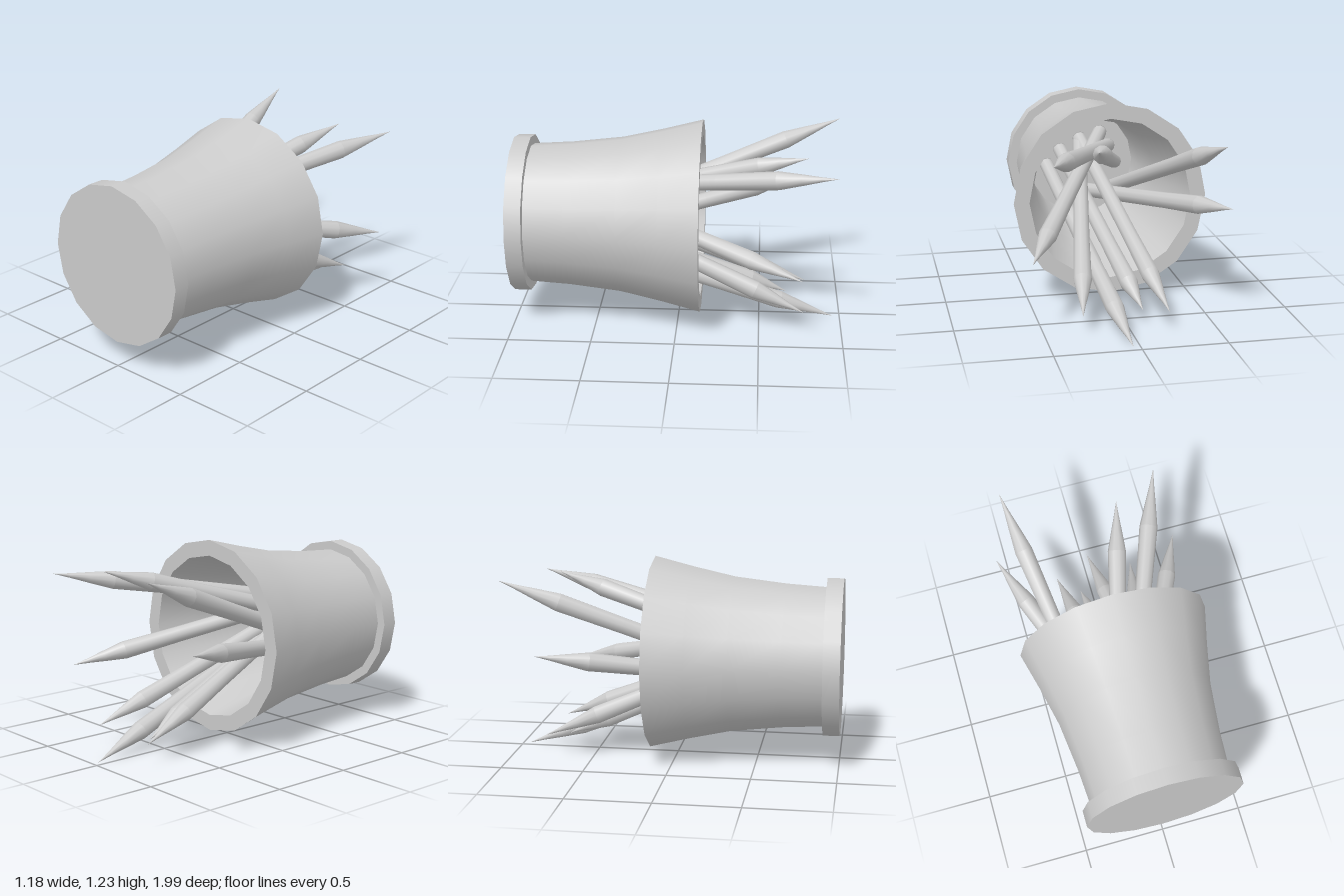
import * as THREE from 'three';

const material = new THREE.MeshStandardMaterial({ color: 0xcccccc });
const AXIS_Y = 0.645; // height of the cup's axis, which lies along z

function lathe(name, points, sides) {
  const profile = points.map(([r, h]) => new THREE.Vector2(r, h));
  const mesh = new THREE.Mesh(new THREE.LatheGeometry(profile, sides), material);
  mesh.name = name;
  return mesh;
}

// Pencil: shaft flaring a little to the shoulder, then a slender hollowed point
function createPencil(tip, foot, pointLength) {
  const along = new THREE.Vector3().subVectors(tip, foot);
  const length = along.length();
  const shoulder = length - pointLength;
  const pencil = new THREE.Group();
  pencil.name = 'pencil';
  pencil.add(
    lathe('pencilShaft', [[0, 0], [0.046, 0], [0.046, 0.01], [0.049, shoulder * 0.75], [0.055, shoulder]], 10),
    lathe('pencilPoint', [[0.055, shoulder], [0.033, shoulder + pointLength * 0.4],
      [0.014, shoulder + pointLength * 0.72], [0, length]], 10),
  );
  pencil.position.copy(foot);
  pencil.quaternion.setFromUnitVectors(new THREE.Vector3(0, 1, 0), along.normalize());
  return pencil;
}

export function createModel() {
  const model = new THREE.Group();
  model.name = 'pencilCup';

  // Cup, built upright with its height running towards -z once tipped over
  const cup = new THREE.Group();
  cup.name = 'cup';
  const base = new THREE.Mesh(new THREE.CylinderGeometry(0.48, 0.48, 0.1, 16), material);
  base.name = 'cupBase';
  base.position.y = -0.95;
  cup.add(
    base,
    lathe('cupOuterWall', [[0.425, -0.9], [0.44, -0.66], [0.475, -0.35], [0.53, -0.1], [0.59, 0.14]], 16),
    lathe('cupRim', [[0.59, 0.14], [0.495, 0.14]], 16),
    lathe('cupInnerWall', [[0.495, 0.14], [0.44, -0.1], [0.39, -0.35], [0.36, -0.66], [0.35, -0.85]], 16),
    lathe('cupFloor', [[0.35, -0.85], [0, -0.85]], 16),
  );
  cup.rotation.x = -Math.PI / 2;
  cup.position.y = AXIS_Y;
  model.add(cup);

  // Pencils: tip x, y, z; x, y where the shaft crosses the rim; point length
  const RIM_Z = -0.14, FOOT_Z = 0.83;
  const pencils = [
    [-0.58, 0.72, -0.76, -0.34, 0.62, 0.32],
    [-0.47, 1.14, -0.99, -0.33, 0.82, 0.37],
    [-0.21, 0.14, -0.79, -0.12, 0.41, 0.34],
    [-0.08, 0.12, -0.67, 0.00, 0.34, 0.25],
    [0.04, 0.01, -0.96, 0.13, 0.30, 0.36],
    [0.20, 1.09, -0.78, 0.03, 0.91, 0.31],
    [0.29, 0.14, -0.77, 0.18, 0.40, 0.32],
    [0.48, 1.06, -0.94, 0.18, 0.92, 0.37],
    [0.57, 0.46, -0.75, 0.30, 0.61, 0.33],
  ];
  for (const [x, y, z, rimX, rimY, pointLength] of pencils) {
    const tip = new THREE.Vector3(x, y, z);
    const atRim = new THREE.Vector3(rimX, rimY, RIM_Z);
    const foot = tip.clone().lerp(atRim, (FOOT_Z - z) / (RIM_Z - z));
    model.add(createPencil(tip, foot, pointLength));
  }
  return model;
}
